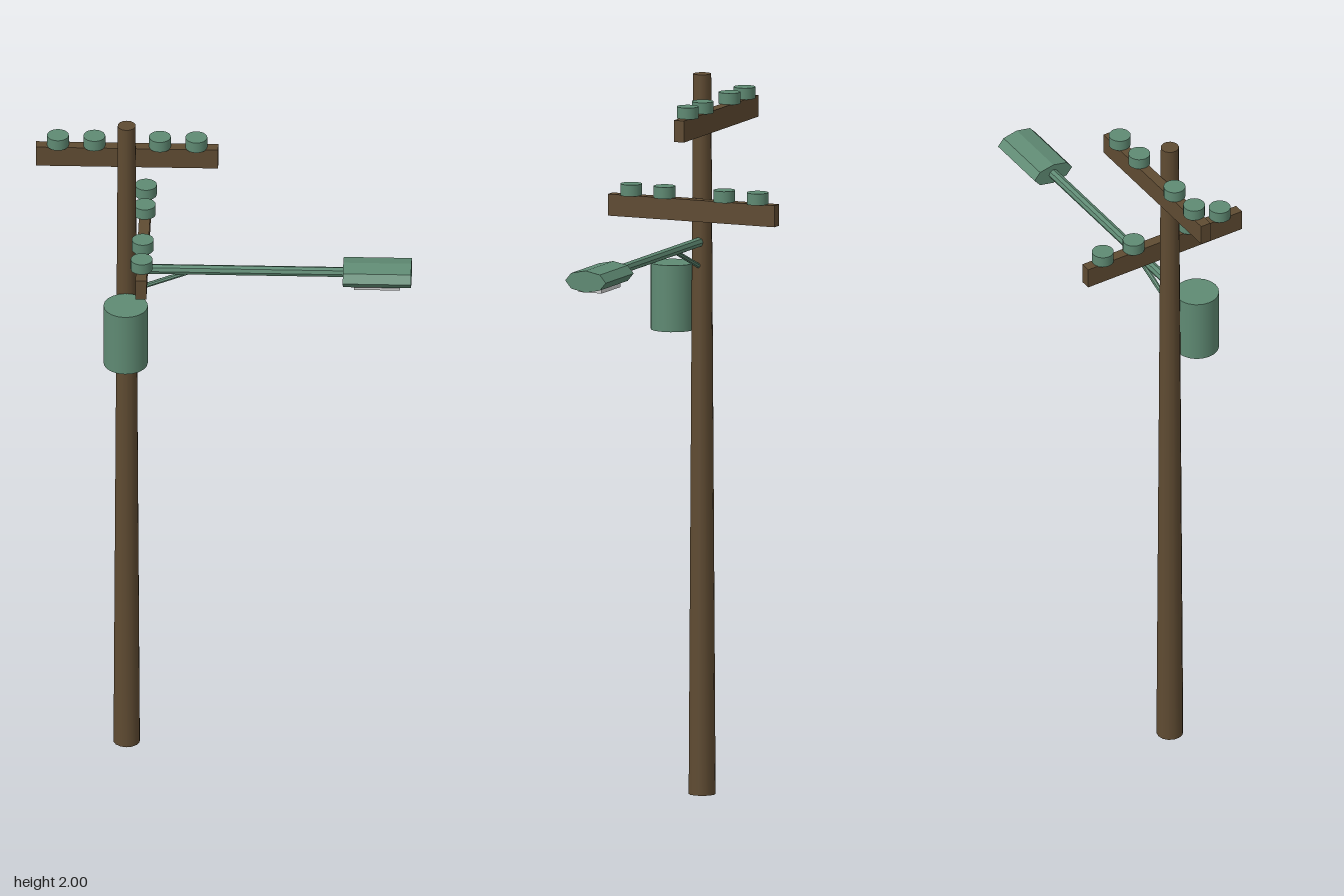
import * as THREE from 'three';

const wood = new THREE.MeshStandardMaterial({ color: 0x5f4b32 });
const green = new THREE.MeshStandardMaterial({ color: 0x5f8a73 });
const greenFlat = new THREE.MeshStandardMaterial({ color: 0x5f8a73, flatShading: true });
const grey = new THREE.MeshStandardMaterial({ color: 0xcccccc });

const POLE_X = -0.267, POLE_Z = -0.007;

function add(parent, name, geometry, material, x, y, z) {
  const mesh = new THREE.Mesh(geometry, material);
  mesh.name = name;
  mesh.position.set(x, y, z);
  parent.add(mesh);
  return mesh;
}

// Round bar between two points
function bar(parent, name, from, to, radius) {
  const dir = to.clone().sub(from);
  const mid = from.clone().add(to).multiplyScalar(0.5);
  const mesh = add(parent, name, new THREE.CylinderGeometry(radius, radius, dir.length(), 8), greenFlat, mid.x, mid.y, mid.z);
  mesh.quaternion.setFromUnitVectors(new THREE.Vector3(0, 1, 0), dir.normalize());
}

// Wooden beam carrying four insulators
function crossarm(name) {
  const arm = new THREE.Group();
  arm.name = name;
  add(arm, 'beam', new THREE.BoxGeometry(0.5, 0.06, 0.03), wood, 0, 0, 0);
  const insulator = new THREE.CylinderGeometry(0.03, 0.03, 0.032, 20);
  for (const x of [-0.19, -0.09, 0.09, 0.19]) add(arm, 'insulator', insulator, green, x, 0.045, 0);
  return arm;
}

export function createModel() {
  const model = new THREE.Group();
  model.name = 'utilityPole';

  // Tapered pole
  add(model, 'pole', new THREE.CylinderGeometry(0.025, 0.037, 2, 14), wood, POLE_X, 1, POLE_Z);

  // Upper arm on the back of the pole, lower arm on its left side
  const upper = crossarm('upperCrossarm');
  upper.position.set(-0.267, 1.878, -0.049);
  const lower = crossarm('lowerCrossarm');
  lower.position.set(-0.22, 1.628, -0.002);
  lower.rotation.y = Math.PI / 2;
  // Insulators sit slightly toward the back on the lower arm
  for (const part of lower.children) if (part.name === 'insulator') part.position.x += 0.003;
  model.add(upper, lower);

  // Transformer can
  add(model, 'transformer', new THREE.CylinderGeometry(0.061, 0.061, 0.185, 20), green, POLE_X, 1.378, 0.081);

  // Street lamp: arm, brace, flattened octagonal head and lens
  const lamp = new THREE.Group();
  lamp.name = 'streetLamp';
  const at = (x, y) => new THREE.Vector3(x, y, POLE_Z);
  bar(lamp, 'lampArm', at(-0.25, 1.535), at(0.34, 1.535), 0.014);
  bar(lamp, 'lampBrace', at(-0.25, 1.467), at(-0.09, 1.53), 0.007);
  const head = new THREE.CylinderGeometry(0.061, 0.061, 0.187, 8).rotateZ(Math.PI / 2).scale(1, 0.5, 1);
  add(lamp, 'lampHead', head, greenFlat, 0.421, 1.535, POLE_Z);
  add(lamp, 'lampLens', new THREE.BoxGeometry(0.125, 0.02, 0.07), grey, 0.421, 1.51, POLE_Z);
  model.add(lamp);

  return model;
}
